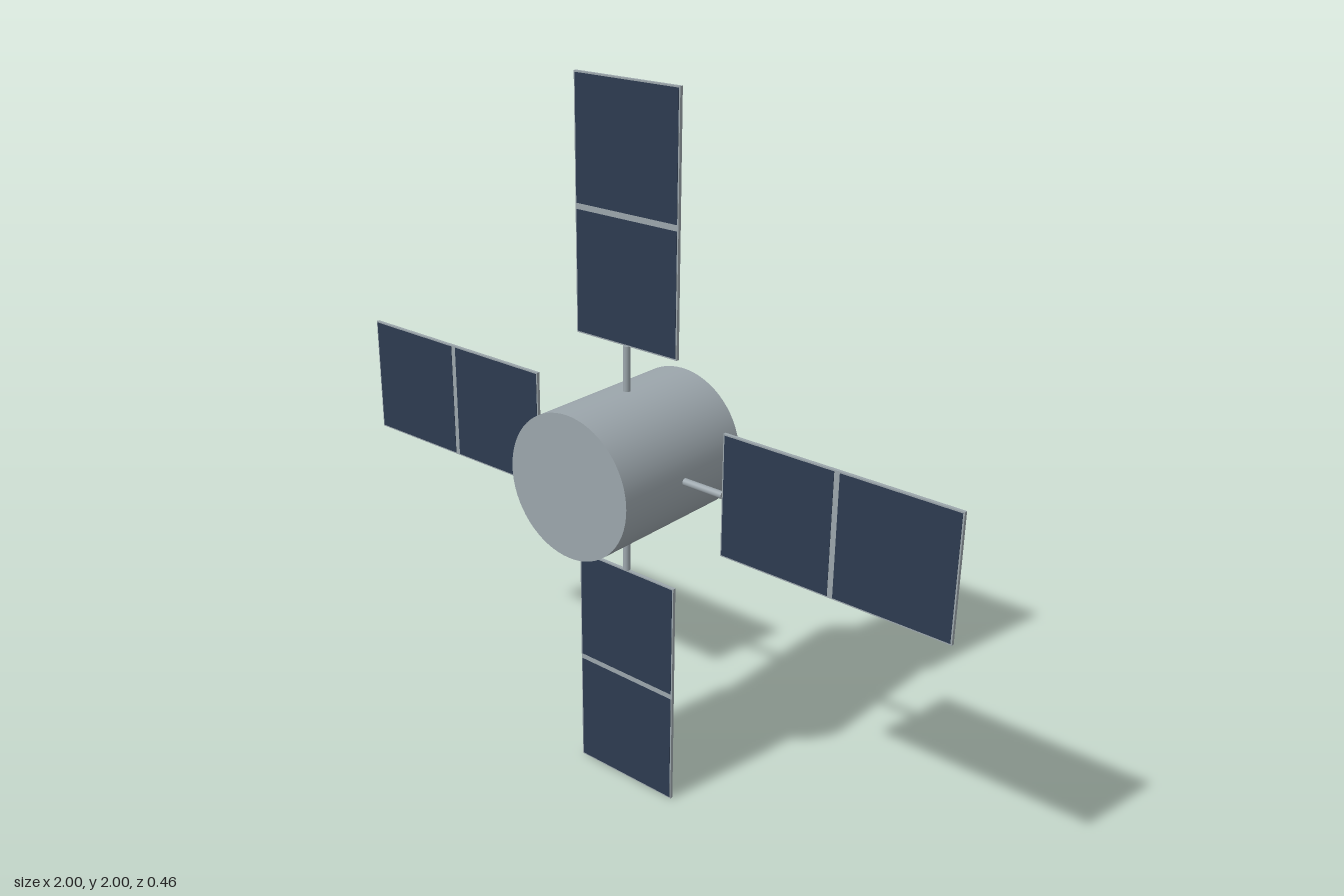
import * as THREE from 'three';

export function createModel() {
  const model = new THREE.Group();
  model.name = 'satellite';

  const metal = new THREE.MeshStandardMaterial({ name: 'grey metal', color: 0x9ca6ac });
  const solar = new THREE.MeshStandardMaterial({ name: 'navy solar cells', color: 0x2d3b50 });

  const add = (parent, name, geometry, material, x, y, z) => {
    const mesh = new THREE.Mesh(geometry, material);
    mesh.name = name;
    mesh.position.set(x, y, z);
    parent.add(mesh);
    return mesh;
  };

  // Drum body lying along z
  const body = add(model, 'body', new THREE.CylinderGeometry(0.2, 0.2, 0.455, 64), metal, 0, 1, 0);
  body.rotation.x = Math.PI / 2;

  // Sizes of one wing, measured outward from the body centre
  const inner = 0.324, outer = 1, width = 0.34, thick = 0.009;
  const rim = 0.004, divider = 0.016, cellSkin = 0.001;
  const length = outer - inner, middle = (inner + outer) / 2;
  const cellLength = (length - divider) / 2 - rim;

  const boomGeometry = new THREE.CylinderGeometry(0.01, 0.01, inner - 0.18, 20);
  const panelGeometry = new THREE.BoxGeometry(width, length, thick);
  const cellGeometry = new THREE.BoxGeometry(width - 2 * rim, cellLength, cellSkin);

  // Four identical wings: boom, backing panel and two cell plates on the front
  ['top', 'right', 'bottom', 'left'].forEach((side, i) => {
    const wing = new THREE.Group();
    wing.name = side + 'Wing';
    wing.position.y = 1;
    wing.rotation.z = i * Math.PI / 2;
    if (i % 2) wing.rotation.z += Math.PI;
    add(wing, 'boom', boomGeometry, metal, 0, (inner + 0.18) / 2, 0);
    add(wing, 'panel', panelGeometry, metal, 0, middle, 0);
    for (const s of [-1, 1]) {
      add(wing, s < 0 ? 'innerCells' : 'outerCells', cellGeometry, solar,
        0, middle + s * (divider + cellLength) / 2, (thick + cellSkin) / 2);
    }
    model.add(wing);
  });

  return model;
}
